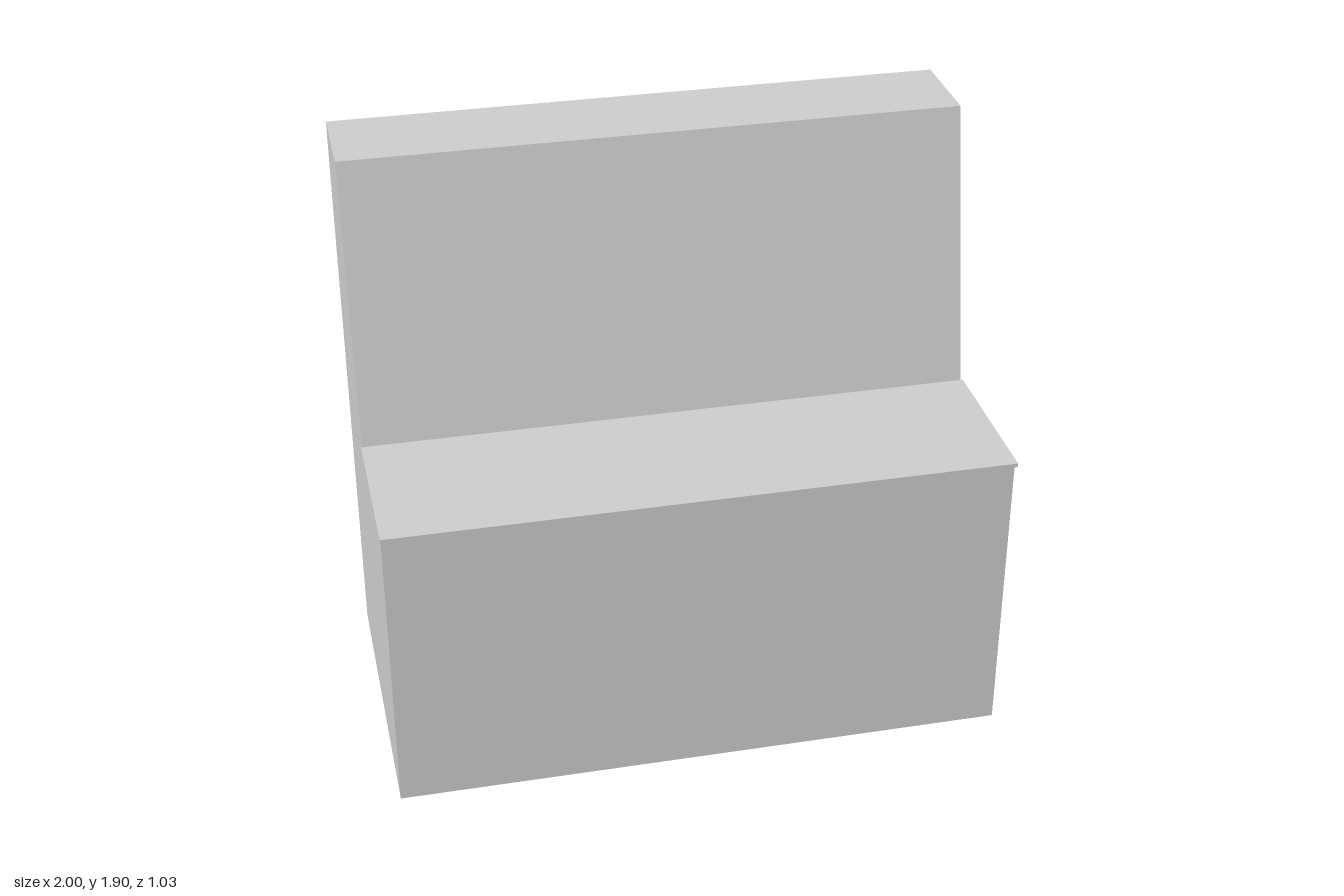
import * as THREE from 'three';

export function createModel() {
  const group = new THREE.Group();
  const material = new THREE.MeshStandardMaterial({ color: 0xcccccc, flatShading: true });

  // Extrudes a side profile of [z, y] points across the bench, from x0 to x1
  const addProfile = (name, points, x0, x1) => {
    const shape = new THREE.Shape(points.map(([z, y]) => new THREE.Vector2(-z, y)));
    const geometry = new THREE.ExtrudeGeometry(shape, { depth: x1 - x0, bevelEnabled: false });
    geometry.rotateY(Math.PI / 2).translate(x0, 0, 0);
    const mesh = new THREE.Mesh(geometry, material);
    mesh.name = name;
    group.add(mesh);
  };

  const back = -0.517, seatRear = -0.022, seatTop = 1, seatUnder = 0.987;

  // Solid base and sloping backrest in one block
  addProfile('baseAndBackrest', [
    [0.51, 0], [0.51, seatUnder], [seatRear, seatUnder], [seatRear, seatTop],
    [-0.207, 1.905], [back, 1.905], [back, 0],
  ], -0.997, 0.992);

  // Thin seat board, slightly overhanging the base
  addProfile('seatBoard', [
    [0.517, seatUnder], [0.517, seatTop], [seatRear, seatTop], [seatRear, seatUnder],
  ], -1, 1);

  return group;
}
